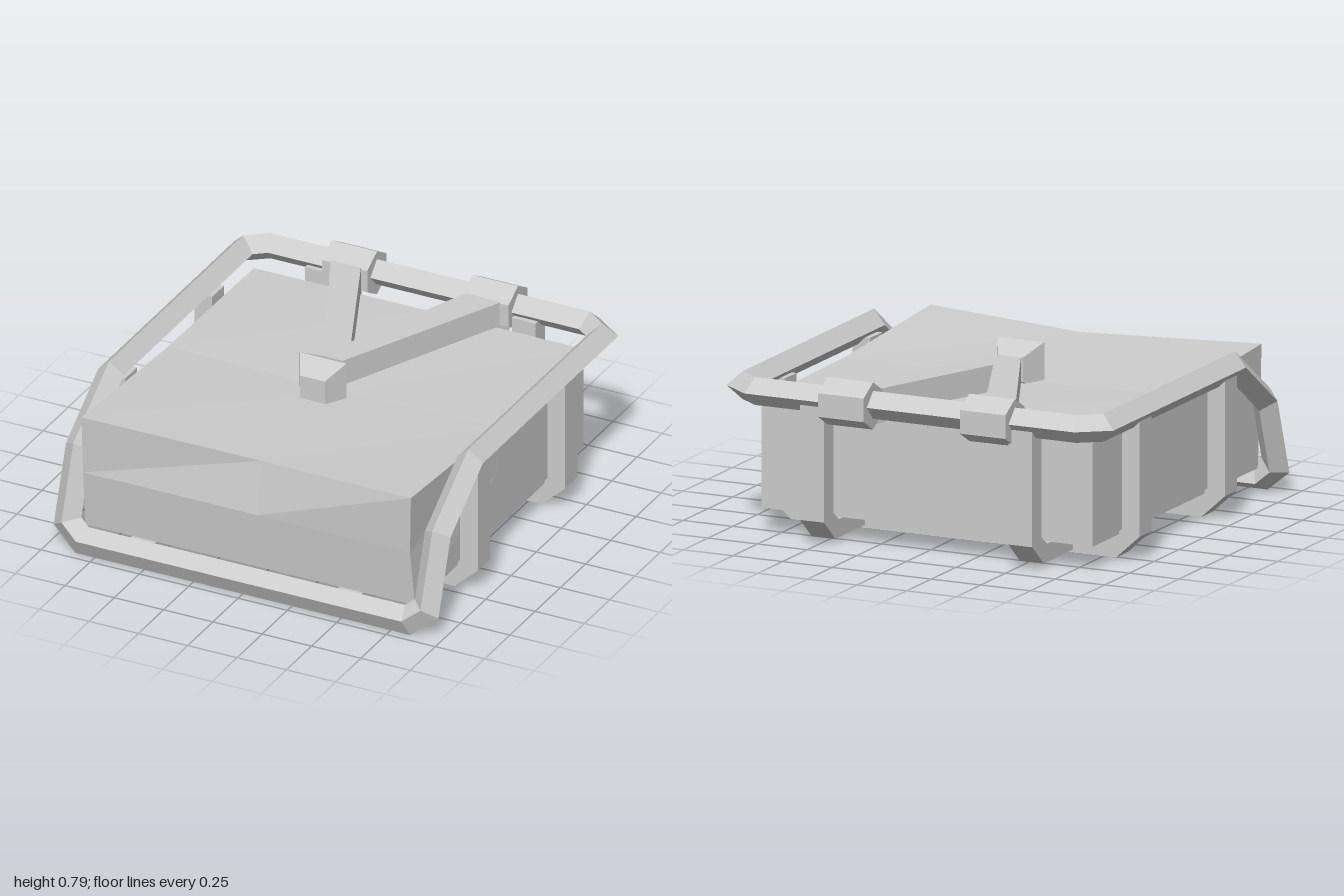
import * as THREE from 'three';
import { ConvexGeometry } from 'three/addons/geometries/ConvexGeometry.js';

const V = (x, y, z) => new THREE.Vector3(x, y, z);

// Sweeps a diamond section round a closed path with mitred corners.
// normals[i] is the upward direction of the segment from point i to i + 1.
function diamondLoop(points, normals, r) {
  const n = points.length;
  const dir = points.map((p, i) => points[(i + 1) % n].clone().sub(p).normalize());
  const rings = points.map((p, i) => {
    const d = dir[i];
    const mitre = d.clone().add(dir[(i + n - 1) % n]).normalize();
    const up = normals[i].clone().normalize();
    const side = up.clone().cross(d).normalize();
    return [side, up, side.clone().negate(), up.clone().negate()].map((o) => {
      const off = o.clone().multiplyScalar(r);
      off.addScaledVector(d, -off.dot(mitre) / d.dot(mitre));
      return off.add(p);
    });
  });
  const corners = [];
  rings.forEach((a, i) => {
    const b = rings[(i + 1) % n];
    for (let j = 0; j < 4; j++) {
      const k = (j + 1) % 4;
      corners.push(a[j], a[k], b[k], a[j], b[k], b[j]);
    }
  });
  const geo = new THREE.BufferGeometry().setFromPoints(corners);
  geo.computeVertexNormals();
  return geo;
}

function extrude(pts, depth) {
  const shape = new THREE.Shape(pts.map(([x, y]) => new THREE.Vector2(x, y)));
  return new THREE.ExtrudeGeometry(shape, { depth, bevelEnabled: false });
}

export function createModel() {
  const group = new THREE.Group();
  const grey = new THREE.MeshStandardMaterial({ color: 0xcccccc });
  grey.name = 'light grey';
  const add = (name, geo) => {
    const mesh = new THREE.Mesh(geo, grey);
    mesh.name = name;
    group.add(mesh);
    return mesh;
  };

  // Main body: a box with a sagging top and a slightly bowed front edge
  let body = new THREE.BoxGeometry(2, 2, 2, 2, 2, 2);
  const pos = body.attributes.position;
  for (let i = 0; i < pos.count; i++) {
    const sx = Math.round(pos.getX(i));
    const sy = Math.round(pos.getY(i));
    const sz = Math.round(pos.getZ(i));
    const top = sz > 0 ? (sx ? 0.68 : 0.65) : sz < 0 ? 0.615 : sx ? 0.625 : 0.61;
    const front = sy > 0 ? (sx ? 0.92 : 0.865) : sy < 0 ? 0.88 : 0.905;
    pos.setXYZ(
      i,
      sx === 0 ? 0.05 : sx > 0 && sy === 0 && sz > 0 ? 0.823 : sx * 0.835,
      sy > 0 ? top : sy < 0 ? 0.11 : 0.39,
      sz > 0 ? front : sz < 0 ? -0.79 : 0.06
    );
  }
  body = body.toNonIndexed();
  body.computeVertexNormals();
  add('body', body);

  // Rail: closed loop along the top, down the front corners and under the front
  const half = [
    V(0.81, 0.68, -0.905), V(0.91, 0.68, -0.83), V(0.91, 0.68, 0.48),
    V(0.91, 0.455, 0.8), V(0.91, 0.125, 0.911), V(0.825, 0.058, 0.9335),
  ];
  const path = [...half, ...half.map((p) => V(-p.x, p.y, p.z)).reverse()];
  const up = V(0, 1, 0);
  const slope = V(0, 0.32, 0.225);
  const leg = V(0, 0.111, 0.33);
  const normals = [up, up, slope, leg, leg, leg, leg, leg, slope, up, up, up];
  add('rail', diamondLoop(path, normals, 0.065));

  // Cross straps: chamfered U shapes passing under the body from side to side
  const uRight = [[0.82, 0.0], [0.94, 0.11], [0.94, 0.65], [0.85, 0.65], [0.85, 0.135], [0.79, 0.095]];
  const uShape = [...uRight, ...uRight.map(([x, y]) => [-x, y]).reverse()];
  for (const z of [0.34, -0.525]) {
    add('crossStrap', extrude(uShape, 0.12).translate(0, 0, z));
  }

  // Long straps: from the front bar under the body and up behind it
  const lShape = [
    [0.9, 0.015], [0.9, 0.1], [-0.79, 0.1], [-0.845, 0.14],
    [-0.845, 0.65], [-0.94, 0.65], [-0.94, 0.115], [-0.825, 0.015],
  ];
  for (const x of [-0.485, 0.565]) {
    add('longStrap', extrude(lShape, 0.12).rotateY(-Math.PI / 2).translate(x, 0, 0));
  }

  // Clips: hexagonal sleeves on the back of the rail
  for (const x of [-0.385, 0.33]) {
    const clip = new THREE.CylinderGeometry(0.11, 0.11, 0.23, 6).toNonIndexed();
    clip.computeVertexNormals();
    add('clip', clip.rotateZ(Math.PI / 2).rotateX(Math.PI / 2).translate(x, 0.675, -0.905));
  }

  // Closing strap: a V lying on the top
  const vShape = [
    [-0.48, -0.86], [-0.325, -0.86], [-0.03, -0.18], [0.24, -0.86],
    [0.425, -0.86], [0.01, 0.02], [-0.07, 0.02],
  ];
  add('closingStrap', extrude(vShape, 0.16).rotateX(Math.PI / 2).translate(0, 0.735, 0));

  // Knob: hexagonal toggle, widest along its ridge
  const knob = [];
  for (const s of [-1, 1]) {
    for (const [w, y, z] of [
      [0.118, 0.79, 0], [0.063, 0.735, 0.105], [0.063, 0.62, 0.105],
      [0.118, 0.56, 0], [0.063, 0.62, -0.105], [0.063, 0.735, -0.105],
    ]) knob.push(V(-0.027 + s * w, y, 0.105 + z));
  }
  add('knob', new ConvexGeometry(knob));

  return group;
}
